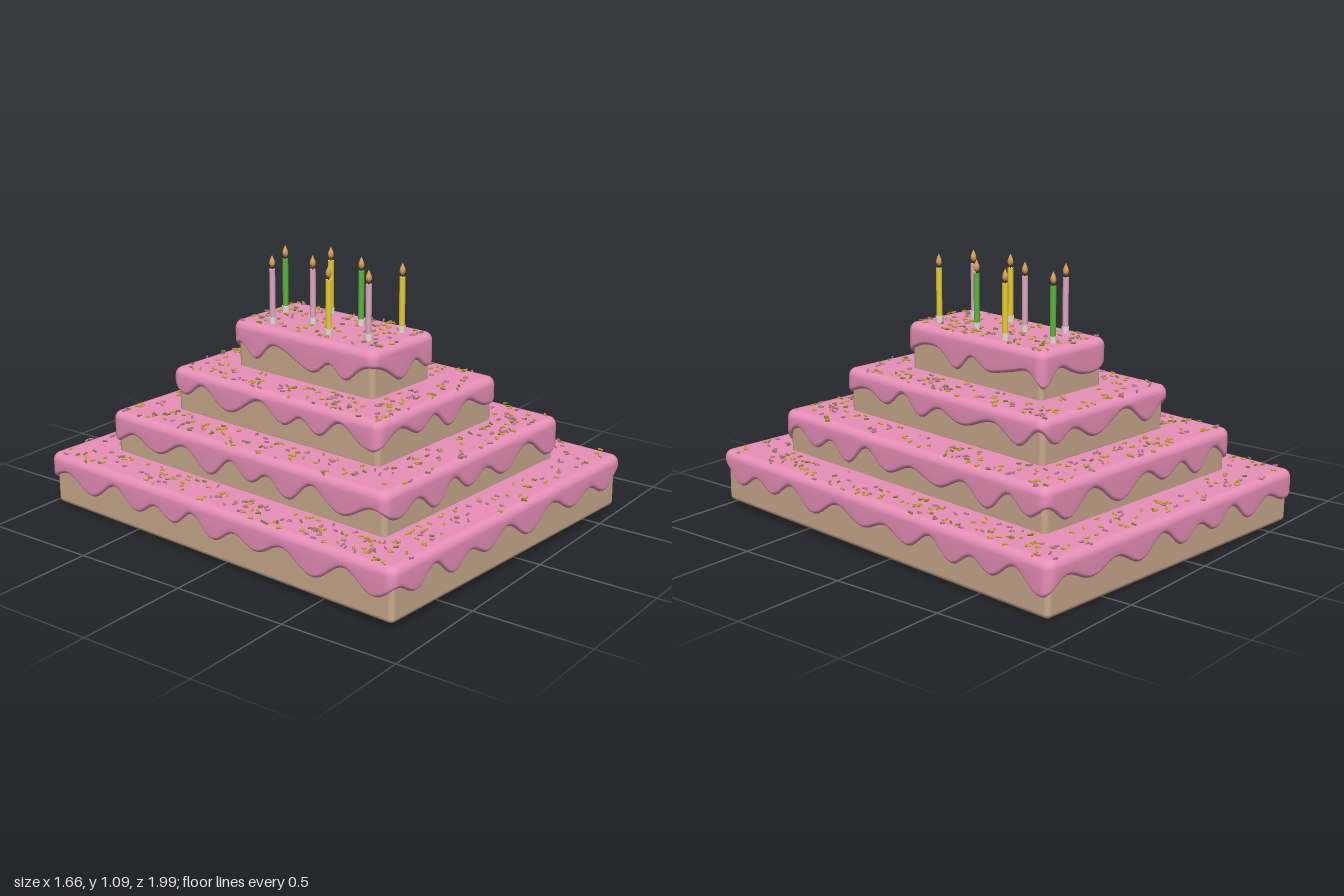
import * as THREE from 'three';
import { mergeGeometries } from 'three/addons/utils/BufferGeometryUtils.js';
import { RoundedBoxGeometry } from 'three/addons/geometries/RoundedBoxGeometry.js';

const paint = (color) => new THREE.MeshStandardMaterial({ color });
const SPONGE = paint(0xc8a98c), ICING = paint(0xe88fb8), HOLDER = paint(0xe6d9dc);
const FLAME = paint(0xe0a050), WICK = paint(0x3a2a20);
const YELLOW = paint(0xe6cf2e), PINK = paint(0xe0a8c0), GREEN = paint(0x58b83a);
const SPRINKLES = [paint(0xc9a91e), paint(0xb87a9a), paint(0x7d8a2a)];

// half width, half depth, base, top, icing depth, wave size, wave phase
const TIERS = [
  [0.76, 0.94, 0.013, 0.24, 0.1, 0.03, 0.4],
  [0.57, 0.75, 0.22, 0.418, 0.103, 0.033, 1.7],
  [0.385, 0.565, 0.4, 0.602, 0.088, 0.03, 2.9],
  [0.2, 0.385, 0.58, 0.8, 0.11, 0.03, 4.1],
];
const CORNER = 0.04;

// x, z, colour
const CANDLES = [
  [0.08, 0.28, YELLOW], [-0.09, 0.235, PINK], [0.07, 0.085, GREEN], [-0.12, 0.06, YELLOW],
  [-0.02, -0.095, PINK], [0.145, -0.125, YELLOW], [-0.11, -0.235, PINK], [0.06, -0.3, GREEN],
];

function seeded(seed) {
  return () => {
    seed = (seed * 1664525 + 1013904223) % 4294967296;
    return seed / 4294967296;
  };
}

function part(name, geometry, material) {
  const mesh = new THREE.Mesh(geometry, material);
  mesh.name = name;
  return mesh;
}

// Rounded rectangle as corner centres plus outward directions
function outline(a, b) {
  const signs = [[1, 1], [-1, 1], [-1, -1], [1, -1]];
  const pts = [];
  signs.forEach(([sx, sz], q) => {
    const cx = sx * (a - CORNER), cz = sz * (b - CORNER);
    for (let k = 0; k <= 6; k++) {
      const t = (q + k / 6) * Math.PI / 2;
      pts.push({ cx, cz, nx: Math.cos(t), nz: Math.sin(t) });
    }
    // straight run to the next corner
    const [tx, tz] = signs[(q + 1) % 4];
    const ex = tx * (a - CORNER), ez = tz * (b - CORNER);
    const n = Math.ceil(Math.hypot(ex - cx, ez - cz) / 0.018);
    const last = pts[pts.length - 1];
    for (let k = 1; k < n; k++) {
      pts.push({ cx: cx + (ex - cx) * k / n, cz: cz + (ez - cz) * k / n, nx: last.nx, nz: last.nz });
    }
  });
  // running length for the wave
  let length = 0;
  pts.forEach((p, i) => {
    p.x = p.cx + p.nx * CORNER;
    p.z = p.cz + p.nz * CORNER;
    if (i) length += Math.hypot(p.x - pts[i - 1].x, p.z - pts[i - 1].z);
    p.s = length;
  });
  length += Math.hypot(pts[0].x - pts[pts.length - 1].x, pts[0].z - pts[pts.length - 1].z);
  return { pts, length };
}

// Icing shell: a dripping lower rim, straight sides and a soft top edge
function icingGeometry([a, b, , top, depth, wave, phase]) {
  const { pts, length } = outline(a, b);
  const n = pts.length, cycles = Math.round(length / 0.25);
  const position = [], index = [];
  const rims = pts.map((p) => {
    const t = (p.s / length) * Math.PI * 2;
    const w = Math.sin(cycles * t + phase + 0.9 * Math.sin(5 * t + phase))
      + 0.4 * Math.sin((Math.round(cycles * 0.6)) * t + 2 * phase);
    return top - depth + wave * w;
  });
  // inset from the outline, height above the rim or below the top
  const rows = [
    [0.024, 0.008, true], [0.012, -0.002, true], [0.004, 0.004, true], [0, 0.014, true],
    [0, -0.032], [0.003, -0.02], [0.009, -0.01], [0.018, -0.003], [0.03, 0], [0.038, 0],
  ];
  for (const [inset, dy, fromRim] of rows) {
    pts.forEach((p, i) => position.push(
      p.cx + p.nx * (CORNER - inset), (fromRim ? rims[i] : top) + dy, p.cz + p.nz * (CORNER - inset)));
  }
  for (let r = 0; r < rows.length - 1; r++) {
    for (let i = 0; i < n; i++) {
      const j = (i + 1) % n, lo = r * n, hi = lo + n;
      index.push(lo + i, hi + i, lo + j, hi + i, hi + j, lo + j);
    }
  }
  position.push(0, top, 0);
  const lastRow = (rows.length - 1) * n, centre = rows.length * n;
  for (let i = 0; i < n; i++) index.push(lastRow + i, centre, lastRow + (i + 1) % n);
  const g = new THREE.BufferGeometry();
  g.setAttribute('position', new THREE.Float32BufferAttribute(position, 3));
  g.setIndex(index);
  g.computeVertexNormals();
  return g;
}

function makeCandle(x, z, material) {
  const candle = new THREE.Group();
  candle.name = 'candle';
  const post = (name, r, y0, y1, m) => {
    const mesh = part(name, new THREE.CylinderGeometry(r, r, y1 - y0, 14), m);
    mesh.position.y = (y0 + y1) / 2;
    candle.add(mesh);
  };
  post('candleHolder', 0.016, -0.01, 0.027, HOLDER);
  post('candleStick', 0.0125, 0, 0.23, material);
  post('wick', 0.003, 0.23, 0.245, WICK);
  const profile = [[0, 0], [0.008, 0.005], [0.0125, 0.016], [0.011, 0.028], [0.005, 0.042], [0, 0.053]]
    .map(([r, y]) => new THREE.Vector2(r, y));
  const flame = part('flame', new THREE.LatheGeometry(profile, 12), FLAME);
  flame.position.y = 0.237;
  candle.add(flame);
  candle.position.set(x, 0.8 + z * 0.013, z);
  return candle;
}

// Sprinkles lie scattered on the exposed top of every tier
function makeSprinkles() {
  const rand = seeded(7);
  const batches = SPRINKLES.map(() => []);
  TIERS.forEach(([a, b, , top], t) => {
    const next = TIERS[t + 1];
    const count = Math.round(a * b * 4 * 370);
    for (let i = 0; i < count; i++) {
      const x = (rand() * 2 - 1) * (a - 0.015), z = (rand() * 2 - 1) * (b - 0.015);
      const turn = rand() * Math.PI, tip = (rand() - 0.5) * 0.5, pick = rand();
      if (next && Math.abs(x) < next[0] + 0.01 && Math.abs(z) < next[1] + 0.01) continue;
      const g = new THREE.CylinderGeometry(0.0042, 0.0042, 0.02, 6);
      g.rotateZ(Math.PI / 2 + tip).rotateY(turn).translate(x, top + 0.003, z);
      batches[pick < 0.5 ? 0 : pick < 0.8 ? 1 : 2].push(g);
    }
  });
  const group = new THREE.Group();
  group.name = 'sprinkles';
  batches.forEach((list, i) => group.add(part('sprinkleColour' + (i + 1), mergeGeometries(list), SPRINKLES[i])));
  return group;
}

export function createModel() {
  const model = new THREE.Group();
  model.name = 'tieredCake';

  // Cake stack, turned a little and leaning slightly back
  const cake = new THREE.Group();
  cake.name = 'cake';
  cake.rotation.set(-0.013, -0.083, 0);
  TIERS.forEach((tier, i) => {
    const [a, b, base, top] = tier;
    const group = new THREE.Group();
    group.name = 'tier' + (i + 1);
    const height = top - 0.012 - base;
    const sponge = part('sponge', new RoundedBoxGeometry(2 * (a - 0.018), height, 2 * (b - 0.018), 4, 0.022), SPONGE);
    sponge.position.y = base + height / 2;
    group.add(sponge, part('icing', icingGeometry(tier), ICING));
    cake.add(group);
  });
  cake.add(makeSprinkles());
  model.add(cake);

  // Candles on the top tier
  for (const [x, z, material] of CANDLES) model.add(makeCandle(x, z, material));
  return model;
}
